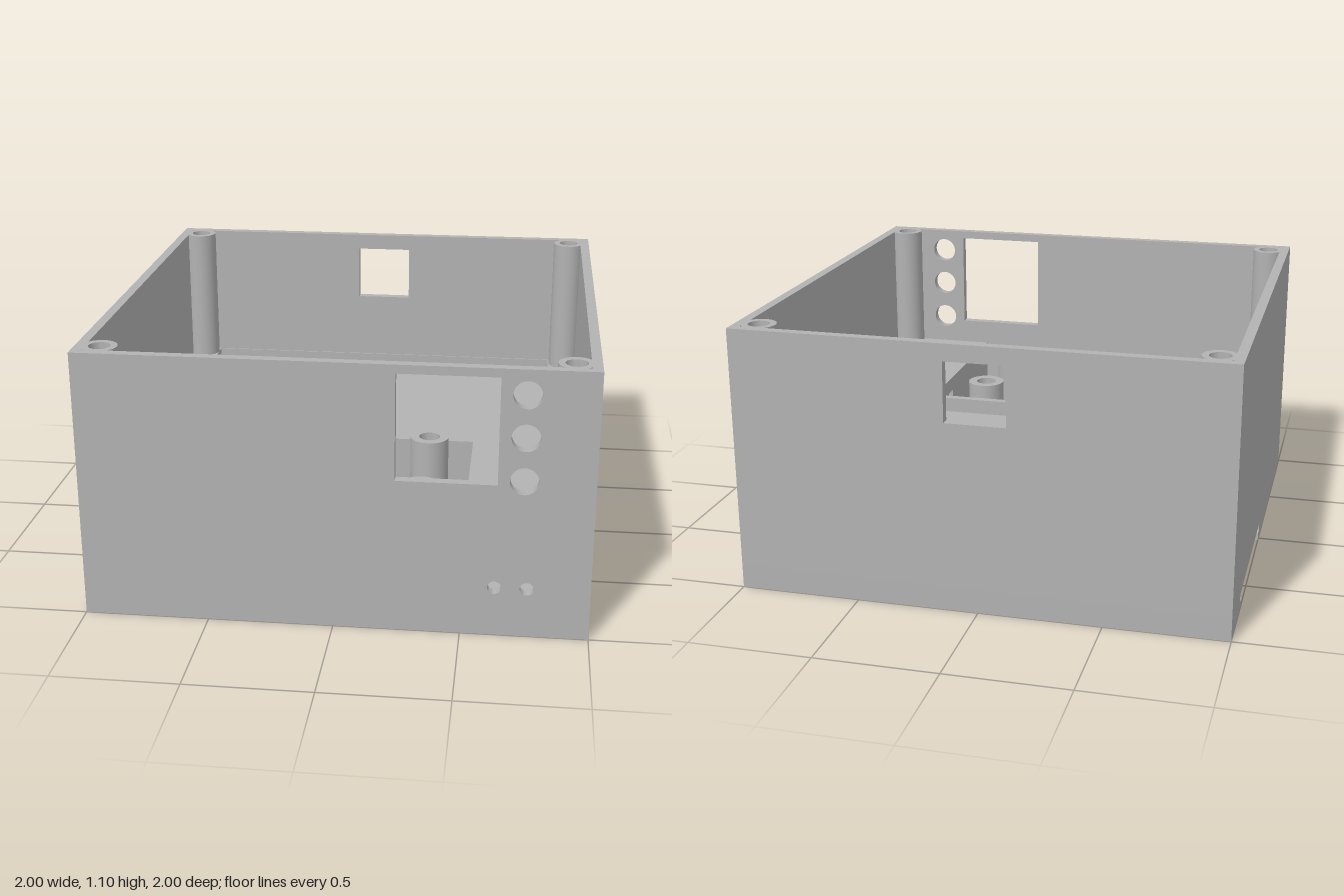
import * as THREE from 'three';
import { toCreasedNormals } from 'three/addons/utils/BufferGeometryUtils.js';

export function createModel() {
  const model = new THREE.Group();
  const grey = new THREE.MeshStandardMaterial({ color: 0xb2b2b2 });
  grey.name = 'grey plastic';

  const add = (name, geometry, parent = model) => {
    const mesh = new THREE.Mesh(geometry, grey);
    mesh.name = name;
    parent.add(mesh);
    return mesh;
  };
  const box = (name, x0, x1, y0, y1, z0, z1) =>
    add(name, new THREE.BoxGeometry(x1 - x0, y1 - y0, z1 - z0)
      .translate((x0 + x1) / 2, (y0 + y1) / 2, (z0 + z1) / 2));

  // Outlines for plates and their cut-outs
  const poly = (pts) => pts.map(([a, b]) => new THREE.Vector2(a, b));
  const rect = (a0, a1, b0, b1) => poly([[a0, b0], [a1, b0], [a1, b1], [a0, b1]]);
  const circle = (a, b, r) => new THREE.Path().absarc(a, b, r, 0, Math.PI * 2).getPoints(16);
  const plate = (outline, holes, depth) => {
    const shape = new THREE.Shape(outline);
    holes.forEach((h) => shape.holes.push(new THREE.Path(h)));
    return toCreasedNormals(new THREE.ExtrudeGeometry(shape, { depth, bevelEnabled: false }), 0.6);
  };
  const frontPlate = (name, outline, holes, z0, z1) =>
    add(name, plate(outline, holes, z1 - z0).translate(0, 0, z0));
  const sidePlate = (name, outline, holes, x0, x1) =>
    add(name, plate(outline, holes, x1 - x0).rotateY(-Math.PI / 2).translate(x1, 0, 0));
  const flatPlate = (name, outline, holes, y0, y1) =>
    add(name, plate(outline, holes, y1 - y0).rotateX(Math.PI / 2).translate(0, y1, 0));

  const H = 1.1, W = 0.96, F = 0.1;                        // height, inner wall, floor top
  const P = { x0: -0.75, x1: 0.43, z0: -0.68, z1: -0.02 }; // battery pocket

  // Floor in three layers: lid opening, wider lid groove, pocket with latch hole
  const notched = (x, z0, z1) =>
    poly([[-1, -1], [1, -1], [1, 1], [-1, 1], [-1, z1], [x, z1], [x, z0], [-1, z0]]);
  flatPlate('floorLips', notched(P.x1, P.z0, P.z1), [], 0, 0.03);
  flatPlate('floorLidGroove', notched(0.45, -0.72, 0.02), [], 0.03, 0.065);
  flatPlate('floor', rect(-1, 1, -1, 1),
    [rect(P.x0, P.x1, P.z0, P.z1), rect(-0.96, -0.905, -0.4, -0.26)], 0.065, F);

  // Outer walls
  frontPlate('frontWall', rect(-1, 1, F, H), [
    rect(0.24, 0.63, 0.635, 1.065),
    ...[1.0, 0.83, 0.655].map((y) => circle(0.73, y, 0.055)),
    ...[0.63, 0.755].map((x) => circle(x, 0.205, 0.027)),
  ], W, 1);
  frontPlate('backWall', rect(-1, 1, F, H), [rect(-0.12, 0.127, 0.785, 1.03)], -1, -W);
  const vents = [];
  for (const z of [0.38, 0.49, 0.605]) for (const y of [0.185, 0.29]) vents.push(circle(z, y, 0.027));
  sidePlate('leftWall', rect(-W, W, F, H), vents, W, 1);
  sidePlate('rightWall', rect(-W, W, F, H), [], -1, -W);

  // Battery housing around the pocket, with a cable hole in its front
  const bx0 = -0.866, bx1 = 0.86, bz = 0.195, top = 0.42, rim = 0.485, ceil = 0.38;
  box('housingBack', bx0, bx1, F, ceil, -W, P.z0);
  box('housingRight', bx0, P.x0, F, ceil, P.z0, P.z1);
  box('housingLeft', P.x1, bx1, F, ceil, P.z0, P.z1);
  frontPlate('housingFront', rect(bx0, bx1, F, ceil), [rect(-0.34, -0.17, 0.22, 0.35)], P.z1, bz);
  box('housingTop', bx0, bx1, ceil, top, -W, bz);

  // Raised rim of the tray on the housing
  flatPlate('trayRim', rect(bx0, bx1, -W, bz), [rect(-0.835, 0.83, -0.954, 0.16)], top, rim);

  // Hollow jack cover in the front left corner, with a cable slot
  const cx = 0.51, cz = 0.18, cTop = 0.525, t = 0.035;
  box('coverTop', cx, W, cTop - t, cTop, cz, W);
  box('coverBack', cx, W, F, cTop - t, cz, cz + t);
  sidePlate('coverSide', rect(cz + t, W, F, cTop - t), [rect(0.29, 0.355, 0.14, 0.46)], cx, cx + t);

  // Posts with stepped screw holes
  const post = (name, x, z, h, r, r1, r2) => {
    const profile = poly([[r, F], [r, h], [r1, h], [r1, h - 0.08], [r2, h - 0.08], [r2, h - 0.3], [0, h - 0.3]]);
    add(name, toCreasedNormals(new THREE.LatheGeometry(profile, 32), 0.6)).position.set(x, 0, z);
  };
  for (const x of [-0.905, 0.905])
    for (const z of [-0.905, 0.905]) post('cornerPost', x, z, H, 0.07, 0.043, 0.026);
  for (const x of [-0.735, 0.325])
    for (const z of [0.29, 0.805]) post('boardStandoff', x, z, 0.54, 0.081, 0.044, 0.028);

  return model;
}
